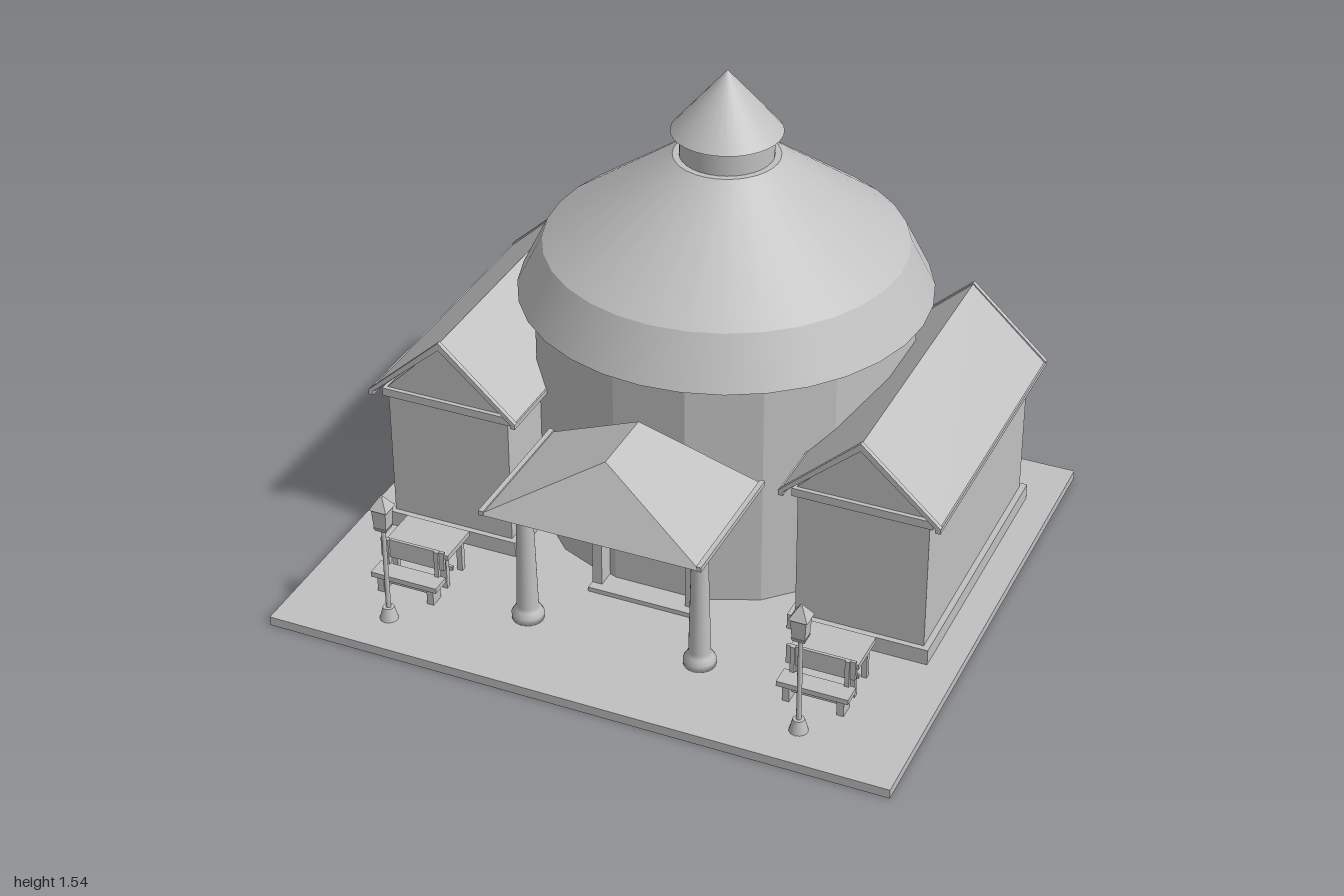
import * as THREE from 'three';

const stone = new THREE.MeshStandardMaterial({ color: 0xc0c0c0 });
stone.name = 'pale grey stone';
const flat = (g) => {
  const f = g.index ? g.toNonIndexed() : g;
  f.computeVertexNormals();
  return f;
};

function add(parent, name, geometry, x = 0, y = 0, z = 0) {
  const mesh = new THREE.Mesh(geometry, stone);
  mesh.name = name;
  mesh.position.set(x, y, z);
  parent.add(mesh);
  return mesh;
}

// Box given by its lower and upper corners
function block(parent, name, x0, x1, y0, y1, z0, z1) {
  return add(parent, name, new THREE.BoxGeometry(x1 - x0, y1 - y0, z1 - z0),
    (x0 + x1) / 2, (y0 + y1) / 2, (z0 + z1) / 2);
}

// Outline in x, y pushed from z0 to z1
function slab(parent, name, points, z0, z1) {
  const shape = new THREE.Shape(points.map(([x, y]) => new THREE.Vector2(x, y)));
  return add(parent, name, new THREE.ExtrudeGeometry(shape, { depth: z1 - z0, bevelEnabled: false }), 0, 0, z0);
}

// Round frustum from y0 to y1
function frustum(parent, name, r0, r1, y0, y1, x, z, sides, open = false) {
  return add(parent, name, new THREE.CylinderGeometry(r1, r0, y1 - y0, sides, 1, open), x, (y0 + y1) / 2, z);
}

// Faceted round hall with its stepped conical roof and roof lantern
function makeHall() {
  const hall = new THREE.Group();
  hall.name = 'roundHall';
  const z = -0.265;
  const wall = add(hall, 'hallWall', flat(new THREE.CylinderGeometry(0.596, 0.596, 0.78, 16)), 0, 0.42, z);
  wall.rotation.y = Math.PI / 16;
  frustum(hall, 'lowerRoof', 0.645, 0.565, 0.81, 0.97, 0, z, 32);
  frustum(hall, 'upperRoof', 0.565, 0.165, 0.97, 1.26, 0, z, 32);
  frustum(hall, 'lanternWall', 0.145, 0.145, 1.26, 1.345, 0, z, 32);
  add(hall, 'lanternRoof', new THREE.ConeGeometry(0.172, 0.2, 32), 0, 1.44, z);
  return hall;
}

// Gabled side house, centred on x = 0
function makeHouse() {
  const house = new THREE.Group();
  house.name = 'sideHouse';
  block(house, 'plinth', -0.224, 0.224, 0.03, 0.082, -0.615, 0.33);
  block(house, 'walls', -0.205, 0.205, 0.08, 0.515, -0.595, 0.312);
  block(house, 'cornice', -0.219, 0.219, 0.513, 0.54, -0.61, 0.326);
  slab(house, 'gable', [[-0.21, 0.538], [0.21, 0.538], [0, 0.75]], -0.595, 0.312);
  const chevron = (w, eave, top, t) =>
    [[-w, eave], [-w + 0.01, eave - 0.008], [0, top - t], [w - 0.01, eave - 0.008], [w, eave], [0, top]];
  slab(house, 'roof', chevron(0.248, 0.539, 0.766, 0.02), -0.632, 0.342);
  for (const z of [-0.645, 0.34]) {
    slab(house, 'bargeBoard', chevron(0.252, 0.542, 0.771, 0.026), z, z + 0.015);
  }
  for (const s of [-1, 1]) {
    const x = s * 0.243;
    block(house, 'gutter', x - 0.008, x + 0.008, 0.526, 0.541, -0.645, 0.355);
  }
  return house;
}

// Hipped porch roof: four slopes over a flat soffit
function porchRoof() {
  const [w, y0, y1] = [0.353, 0.487, 0.69];
  const a = [-w, y0, 0.745], b = [w, y0, 0.745], c = [w, y0, 0.27], d = [-w, y0, 0.27];
  const e = [0, y1, 0.62], f = [0, y1, 0.39];
  const faces = [a, b, e, b, c, f, b, f, e, c, d, f, d, a, e, d, e, f, a, d, c, a, c, b];
  const g = new THREE.BufferGeometry();
  g.setAttribute('position', new THREE.Float32BufferAttribute(faces.flat(), 3));
  return flat(g);
}

function makePorch() {
  const porch = new THREE.Group();
  porch.name = 'porch';
  add(porch, 'porchRoof', porchRoof());
  const profile = [[0, 0.03], [0.05, 0.03], [0.05, 0.052], [0.04, 0.068], [0.034, 0.08], [0.025, 0.43],
    [0.032, 0.445], [0.046, 0.462], [0.05, 0.475], [0.05, 0.492], [0, 0.492]];
  for (const s of [-1, 1]) {
    add(porch, 'column', new THREE.LatheGeometry(profile.map(([r, y]) => new THREE.Vector2(r, y)), 20),
      s * 0.283, 0, 0.59);
    block(porch, 'eaveStrip', s * 0.346 - 0.008, s * 0.346 + 0.008, 0.485, 0.501, 0.27, 0.745);
  }
  return porch;
}

// Arched doorway with side posts and step
function makeDoorway() {
  const door = new THREE.Group();
  door.name = 'doorway';
  const shape = new THREE.Shape();
  shape.moveTo(0.17, 0.03);
  shape.lineTo(0.17, 0.33);
  shape.absarc(0, 0.33, 0.17, 0, Math.PI, false);
  shape.lineTo(-0.17, 0.03);
  shape.lineTo(-0.14, 0.03);
  shape.lineTo(-0.14, 0.33);
  shape.absarc(0, 0.33, 0.14, Math.PI, 0, true);
  shape.lineTo(0.14, 0.03);
  add(door, 'archFrame', new THREE.ExtrudeGeometry(shape, { depth: 0.05, bevelEnabled: false, curveSegments: 20 }), 0, 0, 0.31);
  for (const s of [-1, 1]) block(door, 'doorPost', s * 0.155 - 0.016, s * 0.155 + 0.016, 0.03, 0.325, 0.3, 0.37);
  block(door, 'doorStep', -0.172, 0.172, 0.03, 0.045, 0.3, 0.4);
  return door;
}

// Street lamp with a square tapered lantern
function makeLamp() {
  const lamp = new THREE.Group();
  lamp.name = 'streetLamp';
  const square = (name, r0, r1, y0, y1) => {
    const g = flat(new THREE.CylinderGeometry(r1 * Math.SQRT2, r0 * Math.SQRT2, y1 - y0, 4));
    add(lamp, name, g, 0, (y0 + y1) / 2, 0).rotation.y = Math.PI / 4;
  };
  frustum(lamp, 'lampFoot', 0.029, 0.018, 0.03, 0.072, 0, 0, 12);
  frustum(lamp, 'lampPole', 0.008, 0.007, 0.07, 0.36, 0, 0, 10);
  square('lanternBase', 0.018, 0.022, 0.358, 0.37);
  square('lanternGlass', 0.02, 0.024, 0.37, 0.435);
  square('lanternCap', 0.029, 0.004, 0.435, 0.475);
  return lamp;
}

// Bench with a backrest, and a small table behind it
function makeSeating() {
  const set = new THREE.Group();
  set.name = 'seating';
  block(set, 'benchSeat', -0.112, 0.112, 0.085, 0.102, 0.6, 0.665);
  block(set, 'benchRail', -0.085, 0.085, 0.055, 0.066, 0.625, 0.637);
  block(set, 'backrest', -0.108, 0.108, 0.125, 0.19, 0.59, 0.6);
  block(set, 'tableTop', -0.108, 0.108, 0.146, 0.163, 0.43, 0.573);
  block(set, 'tableRail', -0.085, 0.085, 0.058, 0.072, 0.498, 0.508);
  for (const s of [-1, 1]) {
    const x = s * 0.085;
    block(set, 'benchLeg', x - 0.011, x + 0.011, 0.03, 0.086, 0.607, 0.655);
    block(set, 'backPost', x - 0.007, x + 0.007, 0.085, 0.192, 0.594, 0.608);
    for (const z of [0.452, 0.552]) block(set, 'tableLeg', x - 0.009, x + 0.009, 0.03, 0.148, z - 0.009, z + 0.009);
    block(set, 'tableBrace', x - 0.006, x + 0.006, 0.128, 0.147, 0.452, 0.552);
  }
  return set;
}

export function createModel() {
  const model = new THREE.Group();
  model.name = 'roundHallWithSideHouses';
  block(model, 'ground', -1, 1, 0, 0.03, -0.825, 0.905);
  model.add(makeHall(), makePorch(), makeDoorway());
  for (const s of [-1, 1]) {
    const house = makeHouse();
    house.position.x = s * 0.68;
    const lamp = makeLamp();
    lamp.position.set(s * 0.667, 0, 0.762);
    const seating = makeSeating();
    seating.position.x = s * 0.668;
    model.add(house, lamp, seating);
  }
  return model;
}
